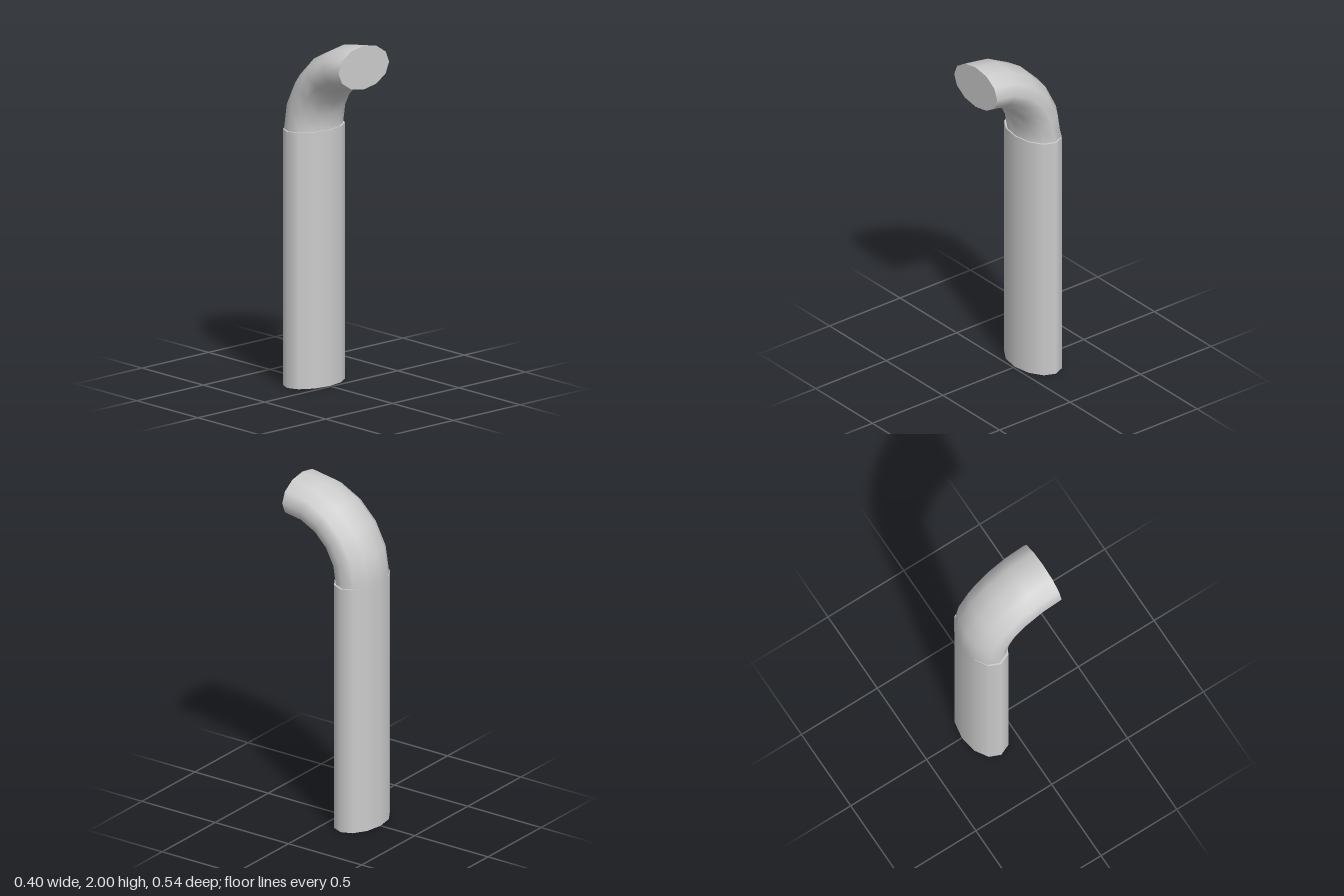
import * as THREE from 'three';

const SIDES = 12;
const SHAFT_TOP = 1.465;
const BEND_RADIUS = 0.41;
const TUBE_RADIUS = 0.125;
const ELBOW_HALF_WIDTH = 0.19;
const MOUTH_Z = 0.267;

export function createModel() {
  const group = new THREE.Group();
  const material = new THREE.MeshStandardMaterial({ color: 0xcccccc });

  const add = (name, geometry, x, y, z) => {
    const mesh = new THREE.Mesh(geometry, material);
    mesh.name = name;
    mesh.position.set(x, y, z);
    group.add(mesh);
  };

  // Upright oval shaft, slightly larger than the elbow that sits in it
  const shaft = new THREE.CylinderGeometry(1, 1, SHAFT_TOP, SIDES);
  shaft.scale(0.202, 1, 0.128);
  add('shaft', shaft, 0, SHAFT_TOP / 2, -0.139);

  // Quarter-turn elbow, widened sideways to an oval section
  const widen = ELBOW_HALF_WIDTH / TUBE_RADIUS;
  const elbow = new THREE.TorusGeometry(BEND_RADIUS, TUBE_RADIUS, SIDES, 5, Math.PI / 2);
  elbow.scale(1, 1, widen);
  elbow.rotateY(Math.PI / 2);
  add('elbow', elbow, 0, SHAFT_TOP, MOUTH_Z);

  // Flat face closing the front end of the elbow
  const endCap = new THREE.CircleGeometry(TUBE_RADIUS, SIDES);
  endCap.scale(widen, 1, 1);
  add('endCap', endCap, 0, SHAFT_TOP + BEND_RADIUS, MOUTH_Z);

  return group;
}
